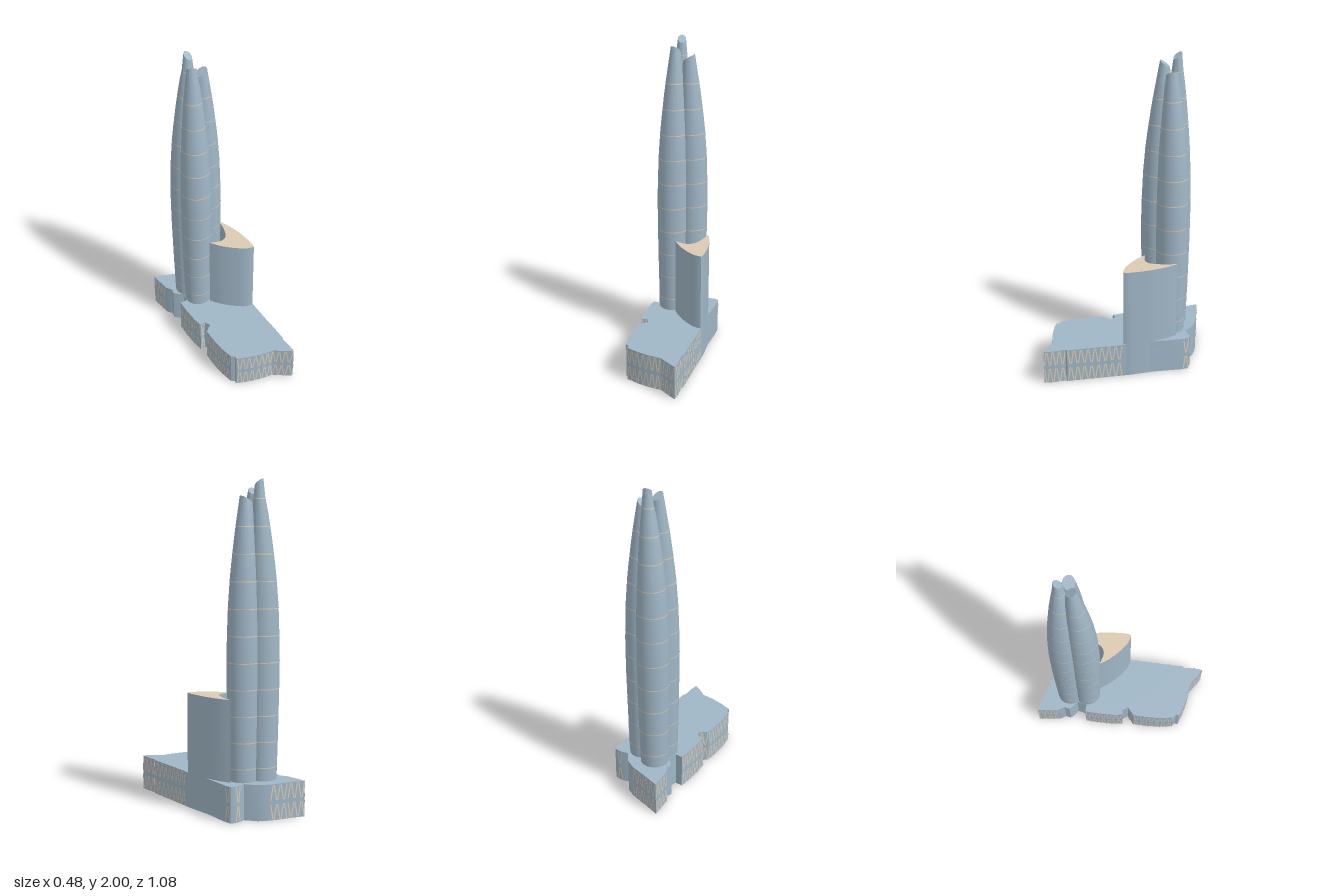
import * as THREE from 'three';
import { toCreasedNormals } from 'three/addons/utils/BufferGeometryUtils.js';

const glass = new THREE.MeshStandardMaterial({ color: 0xa0b6c6, side: THREE.DoubleSide });
glass.name = 'blueGrey';
const trim = new THREE.MeshStandardMaterial({ color: 0xdccbb3, side: THREE.DoubleSide });
trim.name = 'beige';

function add(parent, name, geometry, material) {
  const mesh = new THREE.Mesh(geometry, material);
  mesh.name = name;
  parent.add(mesh);
  return mesh;
}

function fromQuads(pos) {
  const g = new THREE.BufferGeometry();
  g.setAttribute('position', new THREE.Float32BufferAttribute(pos, 3));
  g.computeVertexNormals();
  return g;
}

// Two triangles a, b, c, d
const quad = (out, a, b, c, d) => [a, b, c, a, c, d].forEach((p) => out.push(...p));

// Vertical walls along a closed outline of [x, z] points
function walls(pts, y0, y1) {
  const pos = [];
  pts.forEach(([ax, az], i) => {
    const [bx, bz] = pts[(i + 1) % pts.length];
    quad(pos, [ax, y0, az], [ax, y1, az], [bx, y1, bz], [bx, y0, bz]);
  });
  return toCreasedNormals(fromQuads(pos), 0.5);
}

// Flat slab face, looking up
function cap(pts, y) {
  const shape = new THREE.Shape(pts.map(([x, z]) => new THREE.Vector2(x, -z)));
  return new THREE.ShapeGeometry(shape).rotateX(-Math.PI / 2).translate(0, y, 0);
}

// Stack of circles: rings are [x, y, z, radius, slantX, slantZ]
function loft(rings, seg = 40, closeTop = false) {
  const pos = [], idx = [];
  rings.forEach(([x, y, z, r, sx, sz]) => {
    for (let i = 0; i <= seg; i++) {
      const a = (i / seg) * Math.PI * 2, dx = Math.cos(a) * r, dz = Math.sin(a) * r;
      pos.push(x + dx, y + dx * sx + dz * sz, z + dz);
    }
  });
  for (let k = 0; k < rings.length - 1; k++) {
    for (let i = 0; i < seg; i++) {
      const a = k * (seg + 1) + i, b = a + seg + 1;
      idx.push(a, b, b + 1, a, b + 1, a + 1);
    }
  }
  if (closeTop) {
    const base = (rings.length - 1) * (seg + 1), [x, y, z] = rings[rings.length - 1];
    const c = pos.push(x, y, z) / 3 - 1;
    for (let i = 0; i < seg; i++) idx.push(c, base + i + 1, base + i);
  }
  const g = new THREE.BufferGeometry();
  g.setAttribute('position', new THREE.Float32BufferAttribute(pos, 3));
  g.setIndex(idx);
  g.computeVertexNormals();
  return toCreasedNormals(g, 0.6);
}

// Zigzag lattice on the wall run between two outline points
function zigzag(pos, [ax, az], [bx, bz]) {
  const len = Math.hypot(bx - ax, bz - az), ux = (bx - ax) / len, uz = (bz - az) / len;
  const n = Math.max(1, Math.round(len / 0.021)), step = len / n, w = Math.min(0.0075, step * 0.4);
  const at = (s, y) => [ax + ux * s + uz * 0.004, y, az + uz * s - ux * 0.004];
  for (const [low, high] of [[0.122, 0.215], [0.098, 0.005]]) {
    for (let i = 0; i < n; i++) {
      const [y0, y1] = i % 2 ? [low, high] : [high, low];
      const s0 = i * step, s1 = s0 + step - w;
      quad(pos, at(s0, y0), at(s1, y1), at(s1 + w, y1), at(s0 + w, y0));
    }
  }
}

// Podium outline, seen from above
const outline = [
  [-0.24, -0.538], [-0.13, -0.508], [-0.02, -0.482], [0.045, -0.45], [0.1, -0.385], [0.135, -0.396],
  [0.172, -0.4], [0.2, -0.39], [0.208, -0.35], [0.208, -0.16], [0.223, -0.02], [0.225, 0.04],
  [0.23, 0.215], [0.237, 0.39], [0.228, 0.397], [0.237, 0.48], [0.235, 0.535], [0.19, 0.51],
  [0.122, 0.467], [0.045, 0.463], [-0.04, 0.447], [-0.117, 0.423], [-0.117, 0.402], [-0.138, 0.388],
  [-0.158, 0.3], [-0.167, 0.2], [-0.168, 0.115], [-0.12, 0.07], [-0.143, 0.033], [-0.177, 0.042],
  [-0.19, -0.03], [-0.196, -0.13], [-0.196, -0.215], [-0.15, -0.215], [-0.137, -0.28], [-0.17, -0.3],
  [-0.196, -0.325], [-0.19, -0.36], [-0.217, -0.4],
];
// First and last outline point of each lattice run
const runs = [[0, 2], [5, 6], [7, 8], [11, 21], [23, 27], [28, 32], [38, 39]];

// Tower radius by height
const profile = [[0, 0.082], [0.22, 0.086], [0.5, 0.093], [0.8, 0.098], [1, 0.099], [1.25, 0.093],
  [1.45, 0.082], [1.66, 0.063], [1.8, 0.048], [1.88, 0.036], [1.93, 0.03], [1.98, 0.025], [2.1, 0.02]];

function radiusAt(y) {
  const k = Math.max(1, profile.findIndex(([h]) => h >= y));
  const [y0, r0] = profile[k - 1], [y1, r1] = profile[k];
  return r0 + ((r1 - r0) * (y - y0)) / (y1 - y0);
}

const towers = [
  { name: 'backTower', base: [-0.075, -0.337], tip: [-0.044, -0.33], height: 1.98, slant: [-0.3, -0.72] },
  { name: 'leftTower', base: [0.042, -0.298], tip: [0.016, -0.285], height: 1.88, slant: [0.6, 0] },
  { name: 'frontTower', base: [-0.06, -0.222], tip: [-0.058, -0.257], height: 1.93, slant: [-0.2, 0.66] },
];

function makeTower({ name, base, tip, height, slant }) {
  const group = new THREE.Group();
  group.name = name;
  const ring = (y, grow = 0, sx = 0, sz = 0) => {
    const r = radiusAt(y), s = y < 1 ? 0 : Math.min(1, (0.099 - r) / 0.069);
    return [base[0] + (tip[0] - base[0]) * s, y, base[1] + (tip[1] - base[1]) * s, r + grow, sx, sz];
  };
  const rings = [];
  for (let y = 0; y < height - 0.05; y += 0.079) rings.push(ring(y));
  rings.push(ring(height, 0, ...slant));
  add(group, 'towerShell', loft(rings, 40, true), glass);

  // Floor bands
  for (let k = 0; k < 11; k++) {
    const y = 0.3 + k * 0.1585;
    if (y < height - 0.06) {
      add(group, 'floorBand', loft([ring(y - 0.0025, 0.001), ring(y + 0.0025, 0.001)]), trim);
    }
  }
  return group;
}

export function createModel() {
  const model = new THREE.Group();
  model.name = 'towerComplex';

  // Podium, open underneath
  const podium = new THREE.Group();
  podium.name = 'podium';
  model.add(podium);
  add(podium, 'podiumWalls', walls(outline, 0, 0.22), glass);
  add(podium, 'podiumRoof', cap(outline, 0.22), glass);
  const lattice = [];
  for (const [from, to] of runs) {
    for (let i = from; i < to; i++) zigzag(lattice, outline[i], outline[(i + 1) % outline.length]);
  }
  add(podium, 'podiumLattice', fromQuads(lattice), trim);

  // Crescent block: curved outer faces and a hollow facing the towers
  const curve = (pts) => new THREE.SplineCurve(pts.map((p) => new THREE.Vector2(...p)))
    .getPoints(14).map((p) => [p.x, p.y]).slice(0, -1);
  const crescentOutline = [
    ...curve([[-0.012, -0.14], [0.035, -0.08], [0.09, -0.03], [0.15, 0.012], [0.19, 0.027], [0.22, 0.03]]),
    ...curve([[0.22, 0.03], [0.225, -0.01], [0.21, -0.14], [0.18, -0.245], [0.148, -0.315]]),
    ...curve([[0.148, -0.315], [0.14, -0.235], [0.115, -0.155], [0.075, -0.125], [0.03, -0.128], [-0.012, -0.14]]),
  ].reverse();
  const crescent = new THREE.Group();
  crescent.name = 'crescentBlock';
  model.add(crescent);
  add(crescent, 'crescentWalls', walls(crescentOutline, 0.002, 0.718), glass);
  add(crescent, 'crescentRoof', cap(crescentOutline, 0.718), trim);
  add(crescent, 'crescentFloor', cap(crescentOutline, 0.002), trim);

  // Three leaning towers
  towers.forEach((t) => model.add(makeTower(t)));
  return model;
}
